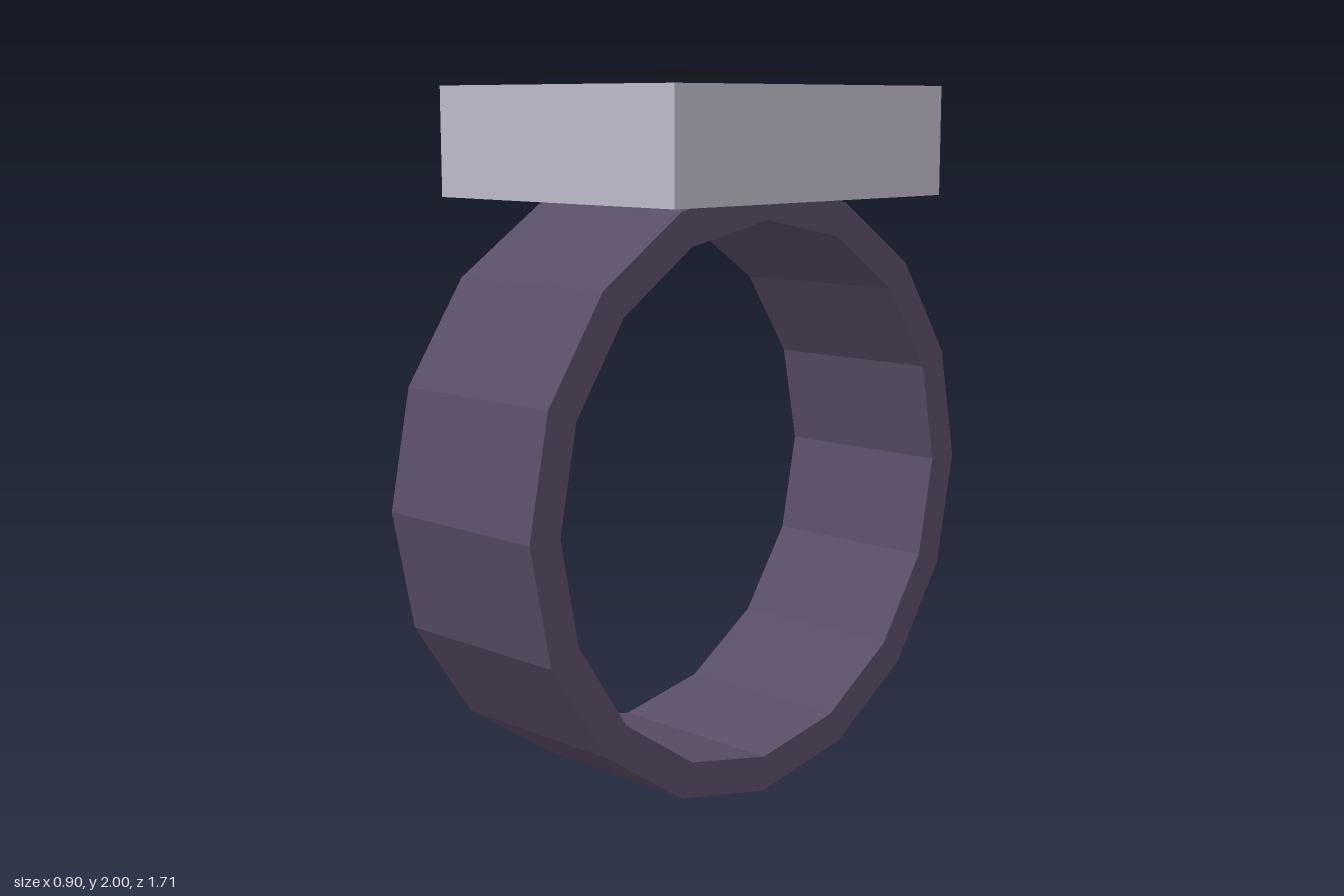
import * as THREE from 'three';

const SIDES = 16;

function ringPoints(radius) {
  return Array.from({ length: SIDES }, (_, i) => {
    const a = (i / SIDES) * Math.PI * 2;
    return new THREE.Vector2(Math.cos(a) * radius, Math.sin(a) * radius);
  });
}

function material(name, color, side = THREE.FrontSide) {
  const m = new THREE.MeshStandardMaterial({ color, side });
  m.name = name;
  return m;
}

export function createModel() {
  const group = new THREE.Group();
  group.name = 'wristwatch';

  const add = (name, geometry, mat, y) => {
    const mesh = new THREE.Mesh(geometry, mat);
    mesh.name = name;
    mesh.position.y = y;
    group.add(mesh);
  };

  // Strap: faceted band whose axis runs along x
  const outline = new THREE.Shape(ringPoints(0.855));
  outline.holes.push(new THREE.Path(ringPoints(0.755)));
  const width = 0.556;
  const strap = new THREE.ExtrudeGeometry(outline, { depth: width, bevelEnabled: false });
  strap.translate(0, 0, -width / 2);
  strap.rotateY(Math.PI / 2);
  add('strap', strap, material('purple strap', 0x5a4d67), 0.855);

  // Case: plain block resting on the strap
  add('case', new THREE.BoxGeometry(0.904, 0.302, 1.055), material('pale grey case', 0xc0bccb), 1.816);

  // Screen: thin sheet floating just above the case
  const screen = new THREE.PlaneGeometry(0.758, 0.904);
  screen.rotateX(-Math.PI / 2);
  add('screen', screen, material('dark screen', 0x22222c, THREE.DoubleSide), 2.0);

  return group;
}
